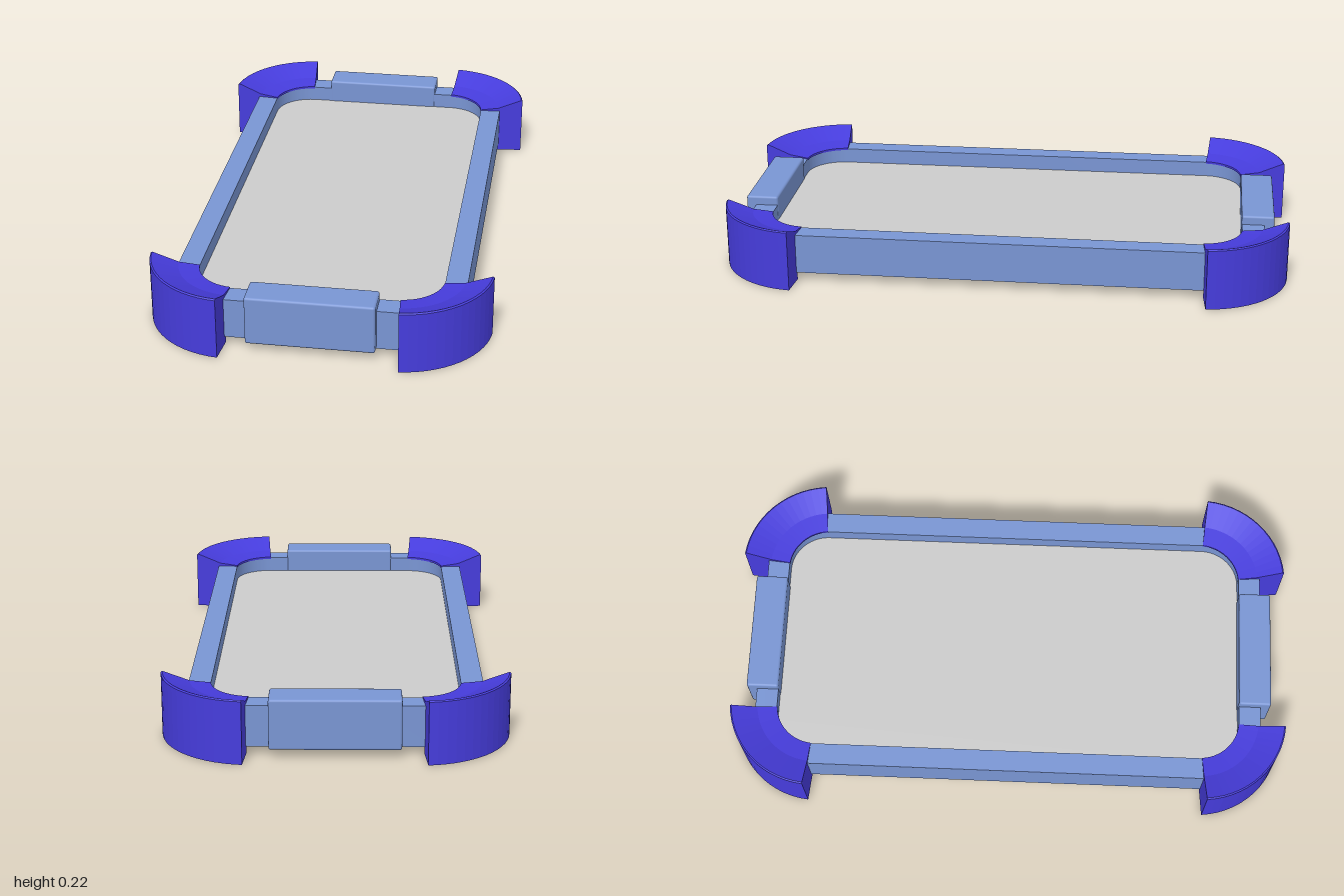
import * as THREE from 'three';
import { RoundedBoxGeometry } from 'three/addons/geometries/RoundedBoxGeometry.js';
import { toCreasedNormals } from 'three/addons/utils/BufferGeometryUtils.js';

const BLUE = 0x7995d3, PURPLE = 0x463cdc, GREY = 0xcccccc;

// Rounded rectangle outline with half sizes a, b and corner radius r
function outline(a, b, r, Kind = THREE.Shape) {
  const s = new Kind();
  s.absarc(a - r, b - r, r, 0, Math.PI / 2);
  s.absarc(r - a, b - r, r, Math.PI / 2, Math.PI);
  s.absarc(r - a, r - b, r, Math.PI, Math.PI * 1.5);
  s.absarc(a - r, r - b, r, Math.PI * 1.5, Math.PI * 2);
  s.closePath();
  return s;
}

// Flat slab from y0 to y1
function slab(name, shape, y0, y1, color) {
  let geo = new THREE.ExtrudeGeometry(shape, { depth: y1 - y0, bevelEnabled: false, curveSegments: 16 });
  geo.rotateX(-Math.PI / 2);
  geo.translate(0, y0, 0);
  geo = toCreasedNormals(geo, 0.5);
  const mesh = new THREE.Mesh(geo, new THREE.MeshStandardMaterial({ color }));
  mesh.name = name;
  return mesh;
}

// Curved corner guard: a swept profile closed at both ends
function cornerBumper() {
  const group = new THREE.Group();
  const mat = new THREE.MeshStandardMaterial({ color: PURPLE, flatShading: true, side: THREE.DoubleSide });
  const profile = [
    [0.21, 0], [0.31, 0], [0.31, 0.214], [0.305, 0.218],
    [0.215, 0.182], [0.145, 0.173], [0.145, 0.165], [0.21, 0.165], [0.21, 0],
  ].map(([r, y]) => new THREE.Vector2(r, y));
  const start = THREE.MathUtils.degToRad(5), sweep = THREE.MathUtils.degToRad(80);
  const curve = new THREE.Mesh(new THREE.LatheGeometry(profile, 14, start, sweep), mat);
  curve.name = 'bumperCurve';
  group.add(curve);
  for (const phi of [start, start + sweep]) {
    const end = new THREE.Mesh(new THREE.ShapeGeometry(new THREE.Shape(profile.slice(0, -1))), mat);
    end.rotation.y = phi - Math.PI / 2;
    end.name = 'bumperEnd';
    group.add(end);
  }
  return group;
}

export function createModel() {
  const model = new THREE.Group();
  model.name = 'tray';

  // Rim, base and inset panel
  const rim = outline(0.49, 0.915, 0.21);
  rim.holes.push(outline(0.415, 0.837, 0.135, THREE.Path));
  model.add(slab('rim', rim, 0.03, 0.17, BLUE));
  model.add(slab('base', outline(0.485, 0.91, 0.205), 0.03, 0.06, BLUE));
  model.add(slab('panel', outline(0.418, 0.84, 0.138), 0.05, 0.115, GREY));

  // Raised blocks on both ends
  for (const s of [-1, 1]) {
    const cap = new THREE.Mesh(
      new RoundedBoxGeometry(0.43, 0.172, 0.115, 2, 0.008),
      new THREE.MeshStandardMaterial({ color: BLUE }));
    cap.position.set(0, 0.116, s * 0.8925);
    cap.name = s > 0 ? 'frontEndBlock' : 'backEndBlock';
    model.add(cap);
  }

  // Corner bumpers, turned a quarter for each corner
  [[1, 1, 'frontLeft'], [1, -1, 'backLeft'], [-1, -1, 'backRight'], [-1, 1, 'frontRight']].forEach(([x, z, side], i) => {
    const bumper = cornerBumper();
    bumper.position.set(x * 0.27, 0, z * 0.691);
    bumper.rotation.y = i * Math.PI / 2;
    bumper.name = side + 'Bumper';
    model.add(bumper);
  });
  return model;
}
